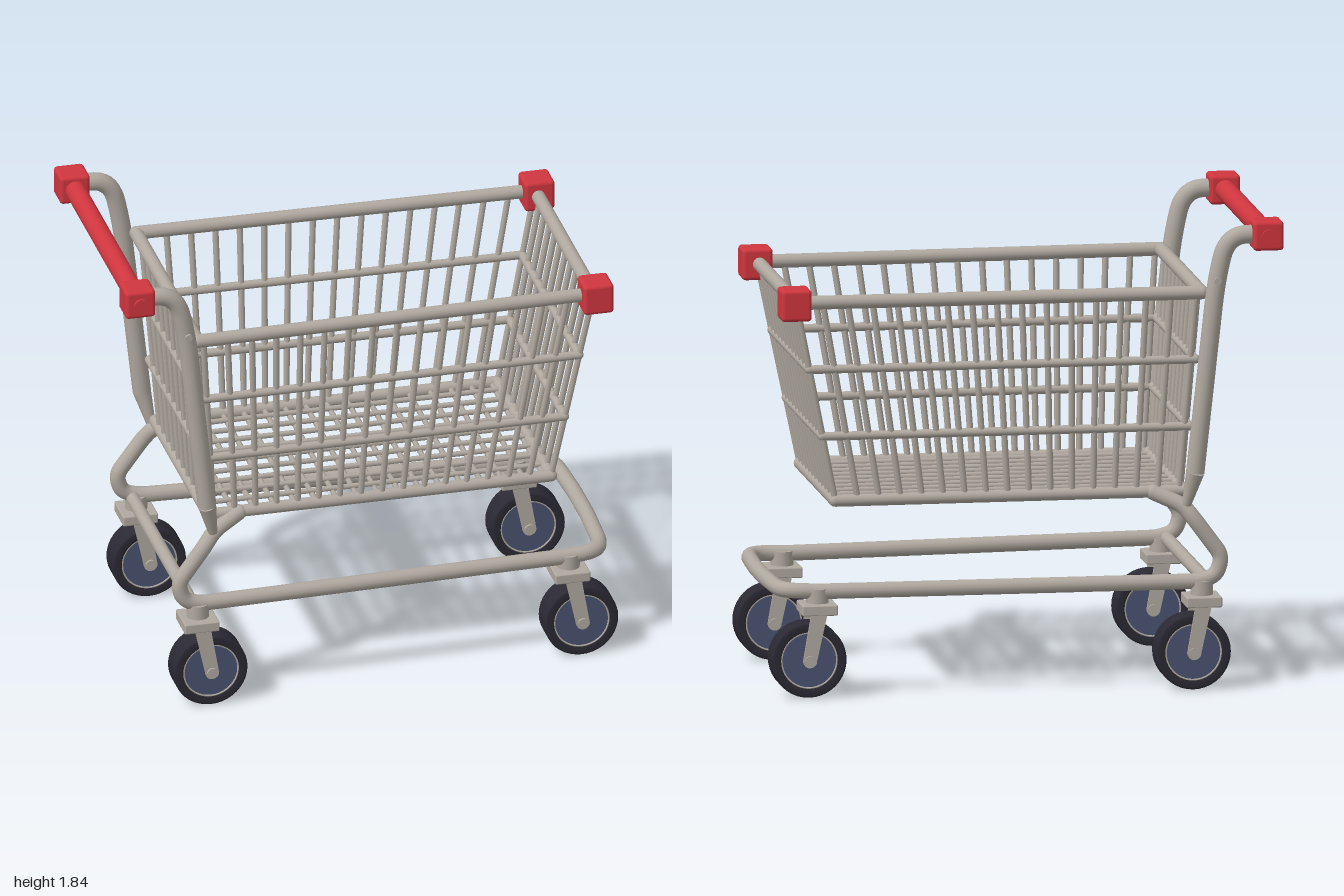
import * as THREE from 'three';
import { RoundedBoxGeometry } from 'three/addons/geometries/RoundedBoxGeometry.js';

const V = (x, y, z) => new THREE.Vector3(x, y, z);
const metal = new THREE.MeshStandardMaterial({ color: 0xb0a9a0 });
const red = new THREE.MeshStandardMaterial({ color: 0xd0363f });
const rubber = new THREE.MeshStandardMaterial({ color: 0x2b2933 });
const hubBlue = new THREE.MeshStandardMaterial({ color: 0x4a5270 });

function add(parent, name, geometry, material, pos) {
  const mesh = new THREE.Mesh(geometry, material);
  mesh.name = name;
  if (pos) mesh.position.copy(pos);
  parent.add(mesh);
  return mesh;
}

// straight round bar from a to b, optionally tapered
function rod(parent, name, a, b, r, material = metal, rEnd = r, sides = 10) {
  const dir = b.clone().sub(a);
  const mesh = add(parent, name, new THREE.CylinderGeometry(rEnd, r, dir.length(), sides), material,
    a.clone().add(b).multiplyScalar(0.5));
  mesh.quaternion.setFromUnitVectors(V(0, 1, 0), dir.normalize());
  return mesh;
}

// tube along a polyline whose corners are rounded by up to "bend"
function bentTube(parent, name, pts, r, bend, segments) {
  const path = new THREE.CurvePath();
  let last = pts[0];
  for (let i = 1; i < pts.length - 1; i++) {
    const p = pts[i];
    const toward = q => p.clone().lerp(q, Math.min(0.48, bend / p.distanceTo(q)));
    const s = toward(pts[i - 1]), e = toward(pts[i + 1]);
    path.add(new THREE.LineCurve3(last, s));
    path.add(new THREE.QuadraticBezierCurve3(s, p, e));
    last = e;
  }
  path.add(new THREE.LineCurve3(last, pts[pts.length - 1]));
  return add(parent, name, new THREE.TubeGeometry(path, segments, r, 14), metal);
}

// basket corner at height fraction t; sx, sz = -1 or 1
function corner(t, sx, sz) {
  const low = sx > 0 ? V(0.74, 0.765, 0.42 * sz) : V(-0.63, 0.765, 0.42 * sz);
  const high = sx > 0 ? V(0.9, 1.555, 0.462 * sz) : V(-0.69, 1.555, 0.485 * sz);
  return low.lerp(high, t);
}

function basket() {
  const g = new THREE.Group();
  g.name = 'basket';
  const order = [[-1, -1], [-1, 1], [1, 1], [1, -1]];
  // horizontal rings
  for (const [t, r, name] of [[0, 0.024, 'bottomRim'], [0.325, 0.017, 'lowerRing'], [0.663, 0.017, 'upperRing'], [1, 0.027, 'topRim']]) {
    order.forEach((c, i) => {
      const a = corner(t, ...c), b = corner(t, ...order[(i + 1) % 4]);
      rod(g, name, a, b, r, metal, r, 14);
      add(g, name + 'Corner', new THREE.SphereGeometry(r, 14, 8), metal, a);
    });
  }
  // wall wire at fraction u between two corners
  const wire = (from, to, u) => {
    const at = t => corner(t, ...from).lerp(corner(t, ...to), u);
    rod(g, 'wallWire', at(0), at(1), 0.0125, metal, 0.0125, 8);
  };
  for (const s of [-1, 1]) {
    // side walls with the front corner post, then end walls
    for (let k = 0; k < 16; k++) wire([-1, s], [1, s], 0.014 + 0.0614 * k);
    wire([-1, s], [1, s], 1);
    for (let k = 1; k < 11; k++) wire([s, -1], [s, 1], k / 11);
  }
  // floor grid
  for (let k = 0; k < 17; k++) {
    const x = -0.61 + 0.0828 * k;
    rod(g, 'floorCrossWire', V(x, 0.762, -0.42), V(x, 0.762, 0.42), 0.011, metal, 0.011, 8);
  }
  for (let k = 1; k < 10; k++) {
    const z = -0.42 + 0.084 * k;
    rod(g, 'floorLongWire', V(-0.63, 0.775, z), V(0.74, 0.775, z), 0.011, metal, 0.011, 8);
  }
  // front corner bumpers
  for (const s of [-1, 1]) {
    add(g, 'cornerBumper', new RoundedBoxGeometry(0.12, 0.125, 0.12, 3, 0.015), red, V(0.907, 1.553, 0.464 * s));
  }
  return g;
}

function caster(x, z) {
  const g = new THREE.Group();
  g.name = 'caster';
  g.position.set(x, 0.147, z);
  // square-shouldered tyre
  const profile = [[0.108, -0.05], [0.113, -0.056], [0.139, -0.056], [0.145, -0.053], [0.147, -0.048],
    [0.147, 0.048], [0.145, 0.053], [0.139, 0.056], [0.113, 0.056], [0.108, 0.05]].map(p => new THREE.Vector2(...p));
  add(g, 'tyre', new THREE.LatheGeometry(profile, 40), rubber).rotation.x = Math.PI / 2;
  rod(g, 'wheelDisc', V(0, 0, -0.049), V(0, 0, 0.049), 0.109, hubBlue, 0.109, 40);
  rod(g, 'axle', V(0, 0, -0.083), V(0, 0, 0.083), 0.022, metal, 0.022, 16);
  for (const s of [-1, 1]) {
    add(g, 'wheelRing', new THREE.TorusGeometry(0.109, 0.004, 6, 40), metal, V(0, 0, 0.051 * s));
    // fork arm slanting back to the swivel
    const arm = new THREE.Shape();
    arm.moveTo(-0.068, 0.185);
    arm.lineTo(-0.027, 0.0);
    arm.absarc(0, 0, 0.027, Math.PI, Math.PI * 2, false);
    arm.lineTo(-0.005, 0.185);
    add(g, 'forkArm', new THREE.ExtrudeGeometry(arm, { depth: 0.012, bevelEnabled: false }), metal,
      V(0, 0, s > 0 ? 0.062 : -0.074));
  }
  add(g, 'forkPlate', new RoundedBoxGeometry(0.14, 0.042, 0.15, 2, 0.006), metal, V(-0.04, 0.198, 0));
  rod(g, 'swivelStem', V(-0.04, 0.21, 0), V(-0.04, 0.275, 0), 0.044, metal, 0.044, 18);
  return g;
}

export function createModel() {
  const model = new THREE.Group();
  model.name = 'shoppingCart';
  model.add(basket());

  // undercarriage: one tube from the basket floor, down the legs and round the front
  const half = [V(-0.51, 0.762, 0.423), V(-0.62, 0.715, 0.465), V(-0.66, 0.665, 0.484), V(-0.77, 0.515, 0.486),
    V(-0.748, 0.44, 0.487), V(-0.68, 0.418, 0.485), V(0.8, 0.41, 0.425), V(0.89, 0.414, 0.42),
    V(0.935, 0.415, 0.395), V(0.953, 0.415, 0.34), V(0.957, 0.415, 0.29), V(0.966, 0.415, 0.1)];
  const mirrored = half.map(p => V(p.x, p.y, -p.z)).reverse();
  bentTube(model, 'lowerFrame', [...half, ...mirrored], 0.031, 0.035, 440);
  rod(model, 'rearCrossBar', V(-0.71, 0.418, -0.485), V(-0.71, 0.418, 0.485), 0.026, metal, 0.026, 14);

  for (const s of [-1, 1]) {
    // rounded end of the leg tube under the basket
    add(model, 'legEnd', new THREE.SphereGeometry(0.031, 14, 10), metal, V(-0.51, 0.762, 0.423 * s));
    // upright with narrowed lower end
    bentTube(model, 'upright', [V(-0.94, 1.787, 0.515 * s), V(-0.785, 1.782, 0.515 * s),
      V(-0.742, 1.6, 0.515 * s), V(-0.66, 0.85, 0.512 * s)], 0.036, 0.1, 60);
    rod(model, 'uprightTaper', V(-0.66, 0.852, 0.512 * s), V(-0.63, 0.72, 0.487 * s), 0.036, metal, 0.018, 14);
    rod(model, 'uprightBolt', V(-0.743, 1.61, 0.5 * s), V(-0.743, 1.61, 0.56 * s), 0.014);
    // handle end blocks
    add(model, 'handleBlock', new RoundedBoxGeometry(0.12, 0.116, 0.12, 3, 0.015), red, V(-0.94, 1.784, 0.515 * s));
    rod(model, 'handleEndPlug', V(-0.94, 1.784, 0.56 * s), V(-0.94, 1.784, 0.585 * s), 0.028, red, 0.028, 20);
    // wheels
    model.add(caster(-0.65, 0.484 * s), caster(0.85, 0.42 * s));
  }
  rod(model, 'handleBar', V(-0.94, 1.784, -0.5), V(-0.94, 1.784, 0.5), 0.04, red, 0.04, 24);
  return model;
}
